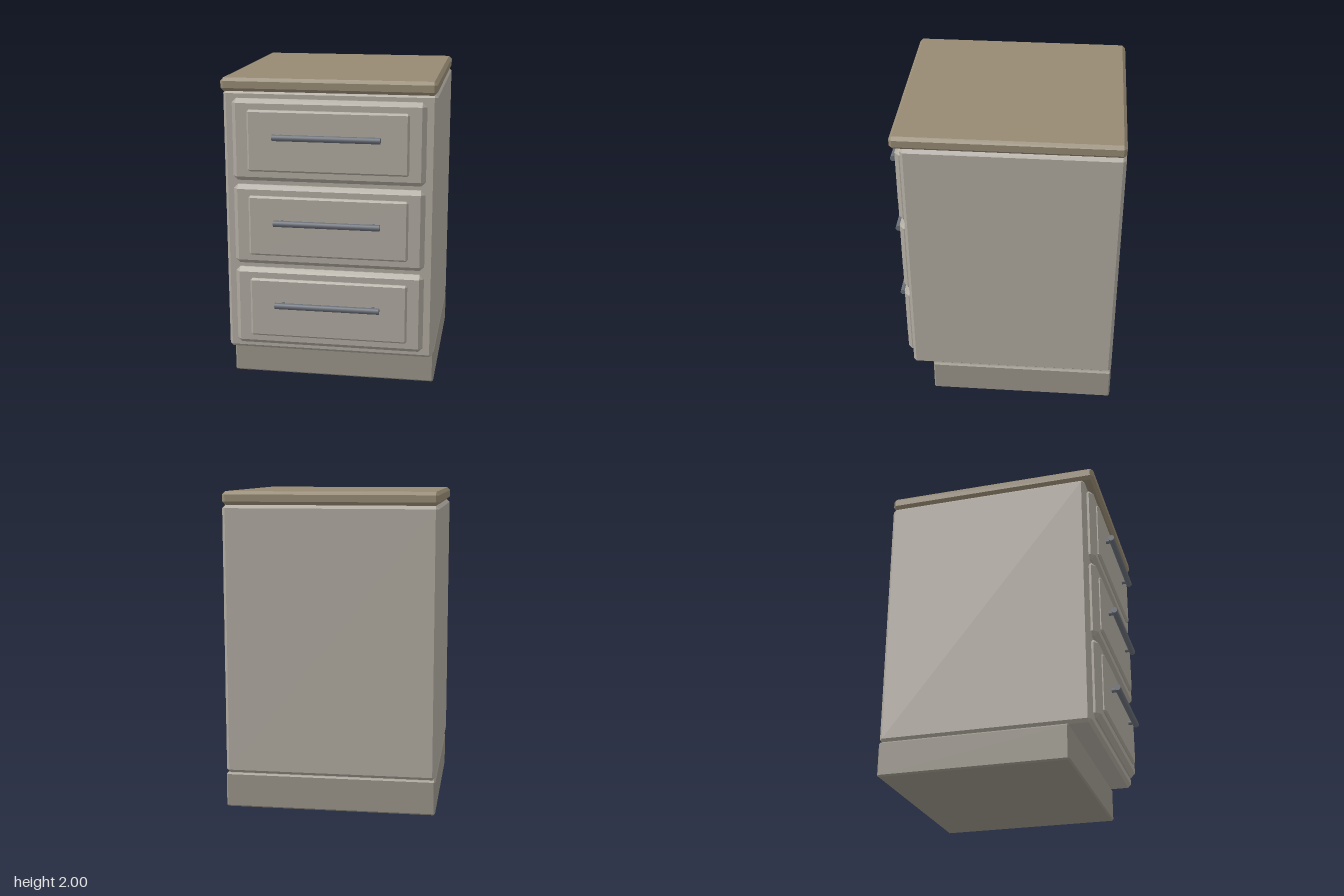
import * as THREE from 'three';
import { ConvexGeometry } from 'three/addons/geometries/ConvexGeometry.js';

const paint = (color) => new THREE.MeshStandardMaterial({ color });

// Box with 45 degree chamfered edges, given by its min and max corners
function chamferBox(name, min, max, c, material) {
  const half = min.map((v, i) => (max[i] - v) / 2);
  const points = [];
  for (const sx of [-1, 1]) for (const sy of [-1, 1]) for (const sz of [-1, 1]) {
    for (let axis = 0; axis < 3; axis++) {
      const p = [sx, sy, sz].map((s, i) => s * (half[i] - (i === axis ? 0 : c)));
      points.push(new THREE.Vector3(...p));
    }
  }
  const mesh = new THREE.Mesh(new ConvexGeometry(points), material);
  mesh.name = name;
  mesh.position.set(...min.map((v, i) => (v + max[i]) / 2));
  return mesh;
}

export function createModel() {
  const model = new THREE.Group();
  model.name = 'drawerCabinet';
  const body = paint(0xb0aaa0);
  const base = paint(0x9a958a);
  const wood = paint(0x968a73);
  const metal = paint(0x6a6f78);

  // Recessed plinth, carcass and worktop
  model.add(
    chamferBox('plinth', [-0.665, 0, -0.73], [0.665, 0.223, 0.47], 0.01, base),
    chamferBox('carcass', [-0.665, 0.223, -0.73], [0.665, 1.917, 0.605], 0.02, body),
    chamferBox('worktop', [-0.665, 1.917, -0.73], [0.665, 2, 0.665], 0.02, wood),
  );

  // Three equal drawers, each with a raised panel and a bar handle
  for (let i = 0; i < 3; i++) {
    const drawer = new THREE.Group();
    drawer.name = 'drawer' + (i + 1);
    drawer.position.y = 0.528 + i * 0.5425;
    drawer.add(
      chamferBox('drawerFront', [-0.603, -0.258, 0.585], [0.603, 0.258, 0.648], 0.027, body),
      chamferBox('raisedPanel', [-0.503, -0.193, 0.63], [0.503, 0.193, 0.667], 0.012, body),
    );

    const handle = new THREE.Group();
    handle.name = 'handle';
    handle.position.set(0, 0.033, 0.71);
    const bar = new THREE.Mesh(new THREE.CylinderGeometry(0.02, 0.02, 0.666, 16), metal);
    bar.name = 'handleBar';
    bar.rotation.z = Math.PI / 2;
    handle.add(bar);
    for (const side of [-1, 1]) {
      const post = new THREE.Mesh(new THREE.CylinderGeometry(0.014, 0.014, 0.055, 12), metal);
      post.name = 'handlePost';
      post.rotation.x = Math.PI / 2;
      post.position.set(side * 0.288, 0, -0.0275);
      handle.add(post);
    }
    drawer.add(handle);
    model.add(drawer);
  }
  return model;
}
